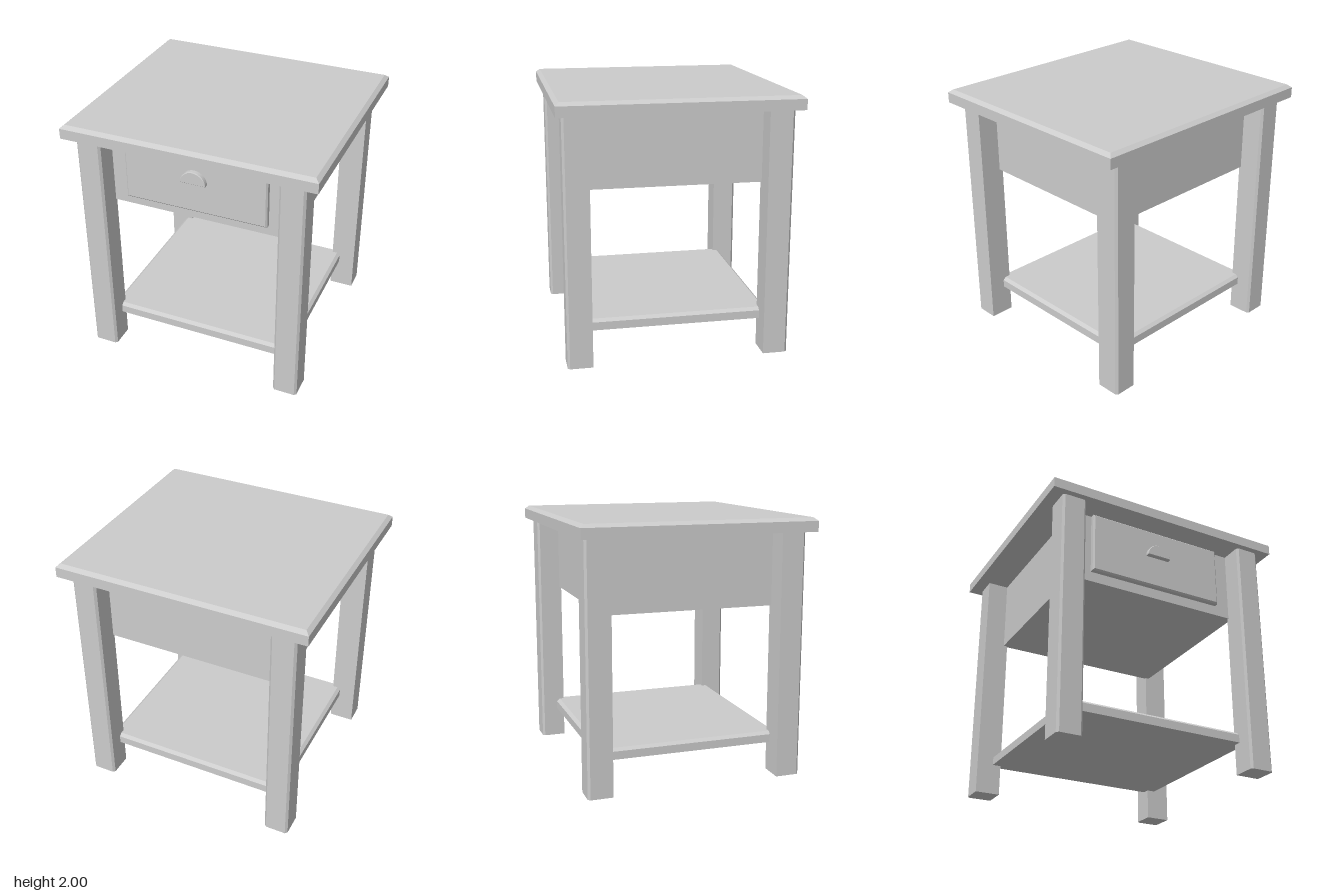
import * as THREE from 'three';

const grey = new THREE.MeshStandardMaterial({ color: 0xcccccc });

// Flat-faced board of size w, h, d standing on y = 0, top edge chamfered by inset and drop
function bevelledBoard(w, h, d, inset, drop) {
  const geo = new THREE.BoxGeometry(w, h, d, 1, 2, 1).toNonIndexed();
  const p = geo.attributes.position;
  for (let i = 0; i < p.count; i++) {
    const y = p.getY(i);
    if (y > h * 0.25) {
      p.setXYZ(i, p.getX(i) - Math.sign(p.getX(i)) * inset, h, p.getZ(i) - Math.sign(p.getZ(i)) * inset);
    } else {
      p.setY(i, y < -h * 0.25 ? 0 : h - drop);
    }
  }
  geo.computeVertexNormals();
  return geo;
}

// Leg with both edges of its outward face chamfered; built facing +z
function legGeometry(w, d, h, c) {
  const s = new THREE.Shape([
    [-w / 2, d / 2], [-w / 2, -d / 2 + c], [-w / 2 + c, -d / 2],
    [w / 2 - c, -d / 2], [w / 2, -d / 2 + c], [w / 2, d / 2],
  ].map(([x, y]) => new THREE.Vector2(x, y)));
  return new THREE.ExtrudeGeometry(s, { depth: h, bevelEnabled: false }).rotateX(-Math.PI / 2);
}

export function createModel() {
  const group = new THREE.Group();
  const add = (name, geo, x = 0, y = 0, z = 0) => {
    const mesh = new THREE.Mesh(geo, grey);
    mesh.name = name;
    mesh.position.set(x, y, z);
    group.add(mesh);
    return mesh;
  };

  // Table top and lower shelf
  add('tableTop', bevelledBoard(1.966, 0.105, 1.786, 0.03, 0.025), 0, 1.895, 0);
  add('lowerShelf', bevelledBoard(1.51, 0.085, 1.43, 0.025, 0.022), 0, 0.24, 0);

  // Four legs, chamfers facing front and back
  const leg = legGeometry(0.195, 0.19, 1.895, 0.017);
  for (const sz of [1, -1]) {
    for (const sx of [1, -1]) {
      const mesh = add(sz > 0 ? 'frontLeg' : 'backLeg', leg, sx * 0.7875, 0, sz * 0.75);
      if (sz < 0) mesh.rotation.y = Math.PI;
    }
  }

  // Drawer case
  add('drawerCase', new THREE.BoxGeometry(1.44, 0.575, 1.34), 0, 1.6075, 0);

  // Drawer front, bevelled side facing forward
  const drawer = bevelledBoard(1.125, 0.06, 0.494, 0.012, 0.012).rotateX(Math.PI / 2);
  add('drawerFront', drawer, 0, 1.648, 0.655);

  // Half-round pull
  const half = new THREE.Shape();
  half.absarc(0, 0, 0.1, 0, Math.PI, false);
  half.closePath();
  const pull = new THREE.ExtrudeGeometry(half, {
    depth: 0.035, curveSegments: 24, bevelThickness: 0.004, bevelSize: 0.004, bevelOffset: -0.004, bevelSegments: 1,
  });
  add('drawerPull', pull, 0, 1.655, 0.712);

  return group;
}
